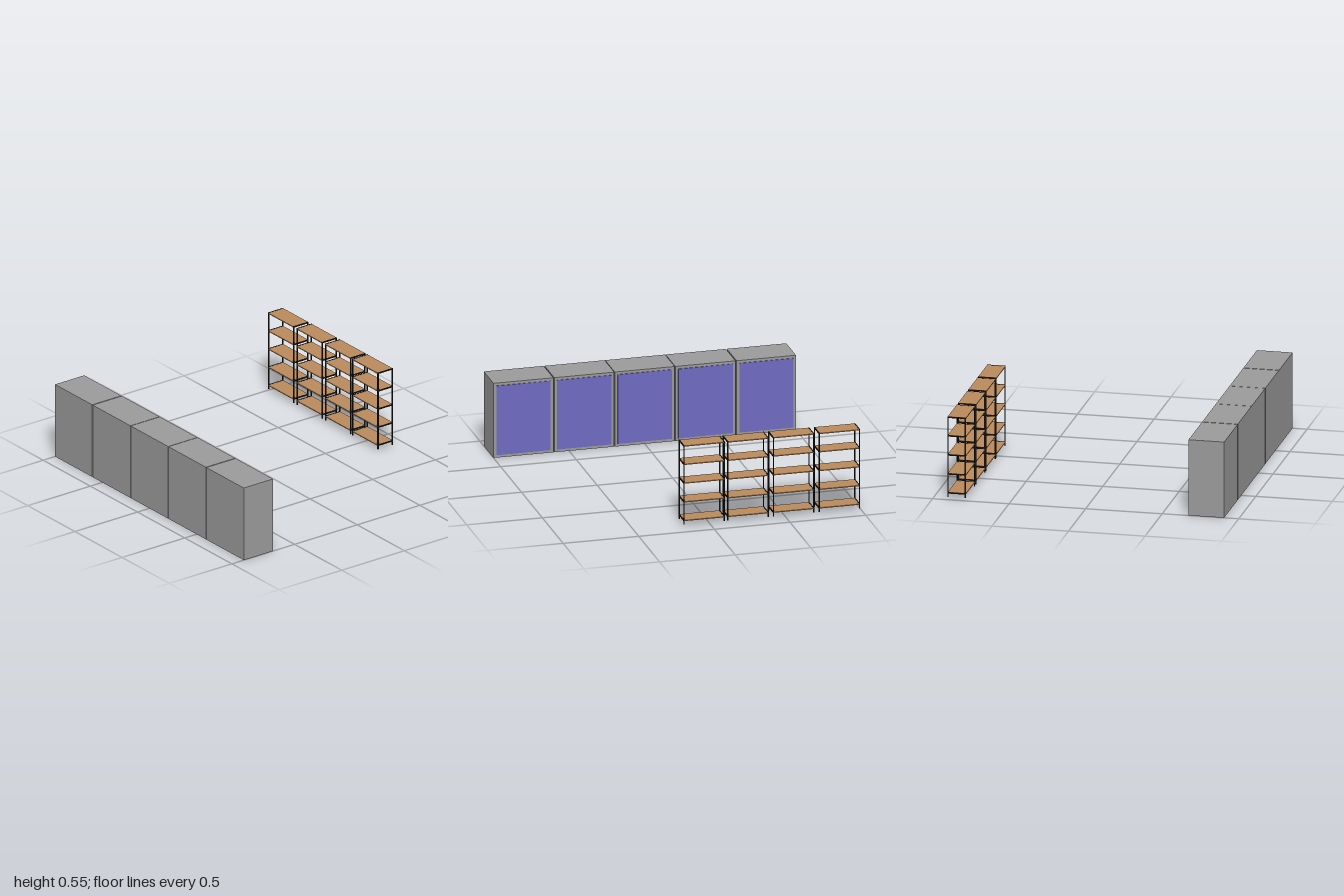
import * as THREE from 'three';

function material(name, color) {
  const m = new THREE.MeshStandardMaterial({ color });
  m.name = name;
  return m;
}

// Box given by its min and max corners
function block(parent, name, mat, [x0, y0, z0], [x1, y1, z1]) {
  const mesh = new THREE.Mesh(new THREE.BoxGeometry(x1 - x0, y1 - y0, z1 - z0), mat);
  mesh.position.set((x0 + x1) / 2, (y0 + y1) / 2, (z0 + z1) / 2);
  mesh.name = name;
  parent.add(mesh);
}

export function createModel() {
  const grey = material('grey', 0x9a9a9a);
  const blue = material('doorBlue', 0x6e6bc1);
  const wood = material('wood', 0xba8b5b);
  const black = material('blackMetal', 0x1e1e1e);
  const model = new THREE.Group();
  model.name = 'storageFurniture';

  // Row of cabinets with doors facing the shelves: [x min, x max, double door]
  const cabinets = [
    [-1, -0.607, false], [-0.6, -0.202, true], [-0.198, 0.198, true],
    [0.202, 0.598, false], [0.605, 1, true],
  ];
  const zBack = 0.672, border = 0.018;
  for (const [x0, x1, double] of cabinets) {
    const cabinet = new THREE.Group();
    cabinet.name = 'cabinet';
    block(cabinet, 'cabinetBody', grey, [x0, 0, zBack], [x1, 0.505, 0.905]);
    const a = x0 + border, b = x1 - border, mid = (a + b) / 2;
    // Double doors overlap, so one leaf stands slightly proud
    const leaves = double ? [[a, mid, 0.003], [mid, b, 0.005]] : [[a, b, 0.004]];
    for (const [l, r, depth] of leaves) {
      block(cabinet, 'door', blue, [l, 0.018, zBack - depth], [r, 0.487, zBack]);
    }
    model.add(cabinet);
  }

  // Open shelving units
  const zA = -0.905, zB = -0.785, t = 0.007;
  const levels = [0.042, 0.168, 0.295, 0.422, 0.546];
  for (const x0 of [-0.99, -0.687, -0.386, -0.096]) {
    const x1 = x0 + 0.273;
    const unit = new THREE.Group();
    unit.name = 'shelvingUnit';
    for (const x of [x0, x1 - t]) {
      for (const z of [zA, zB - t]) {
        block(unit, 'post', black, [x, 0.015, z], [x + t, 0.55, z + t]);
      }
      for (const y of levels) {
        block(unit, 'sideBar', black, [x, y - 0.004, zA + t], [x + t, y + 0.004, zB - t]);
      }
    }
    for (const y of levels) {
      block(unit, 'shelf', wood, [x0 + t, y - 0.003, zA], [x1 - t, y + 0.003, zB]);
    }
    model.add(unit);
  }
  return model;
}
